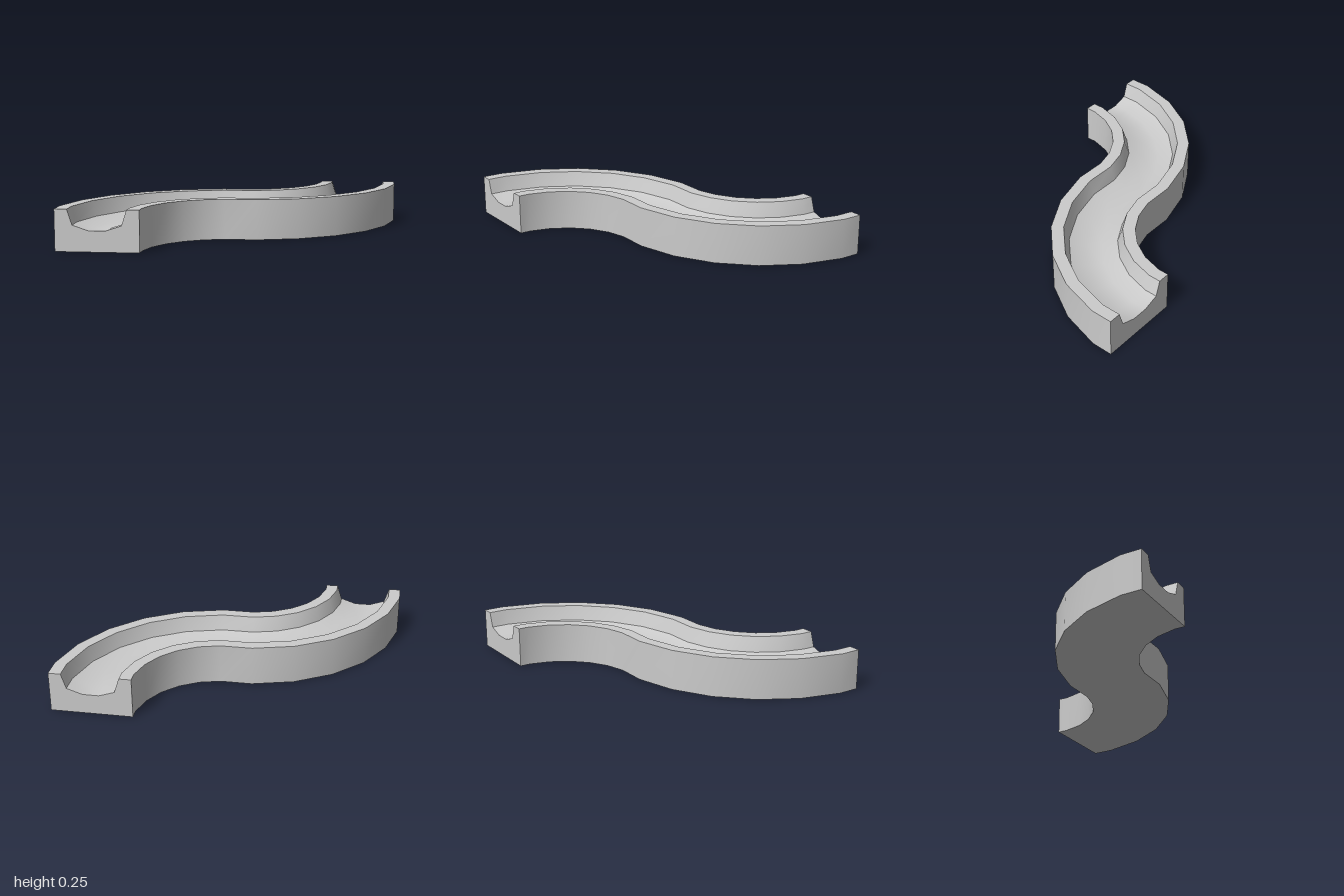
import * as THREE from 'three';
import { toCreasedNormals } from 'three/addons/utils/BufferGeometryUtils.js';

const BEND = 0.75; // centreline radius of both bends
const STEPS = 6; // facets per quarter turn

// Right half of the channel section as [offset from centreline, height]
const half = [[0.25, 0], [0.25, 0.25], [0.175, 0.25], [0.145, 0.157], [0.05, 0.125]];
const profile = [...half, ...half.map(([d, y]) => [-d, y]).reverse()];

// Triangles that fill the section at either end
const cap = [[0, 1, 2], [0, 2, 3], [0, 3, 4], [0, 4, 5], [0, 5, 9], [9, 5, 6], [9, 6, 7], [9, 7, 8]];

// Stations along the S: straight end, then mitred joints halfway between facets
function stations() {
  const step = Math.PI / 2 / STEPS;
  const quarter = [{ angle: 0, scale: 1 }];
  for (let i = 0; i < STEPS; i++) {
    quarter.push({ angle: (i + 0.5) * step, scale: 1 / Math.cos(step / 2) });
  }
  return [
    ...quarter.map((s) => ({ ...s, side: -1 })),
    ...quarter.map((s) => ({ ...s, side: 1 })).reverse(),
  ];
}

function channelGeometry() {
  const positions = [];
  const index = [];
  const rows = stations();
  const n = profile.length;

  // The second bend is the first one turned half a circle about the centre
  for (const { angle, scale, side } of rows) {
    for (const [d, y] of profile) {
      const r = (BEND - side * d) * scale;
      positions.push(side * r * Math.cos(angle), y, side * (r * Math.sin(angle) - BEND));
    }
  }

  // Walls, rims, groove and underside
  for (let i = 0; i < rows.length - 1; i++) {
    for (let j = 0; j < n; j++) {
      const a = i * n + j;
      const b = i * n + ((j + 1) % n);
      index.push(a, b, a + n, b, b + n, a + n);
    }
  }

  // End faces
  const last = (rows.length - 1) * n;
  for (const [a, b, c] of cap) {
    index.push(a, c, b, last + a, last + b, last + c);
  }

  const geometry = new THREE.BufferGeometry();
  geometry.setAttribute('position', new THREE.Float32BufferAttribute(positions, 3));
  geometry.setIndex(index);
  return toCreasedNormals(geometry, THREE.MathUtils.degToRad(50));
}

export function createModel() {
  const group = new THREE.Group();
  group.name = 'curvedTrack';
  const track = new THREE.Mesh(
    channelGeometry(),
    new THREE.MeshStandardMaterial({ color: 0xcccccc })
  );
  track.name = 'groovedChannel';
  group.add(track);
  return group;
}
